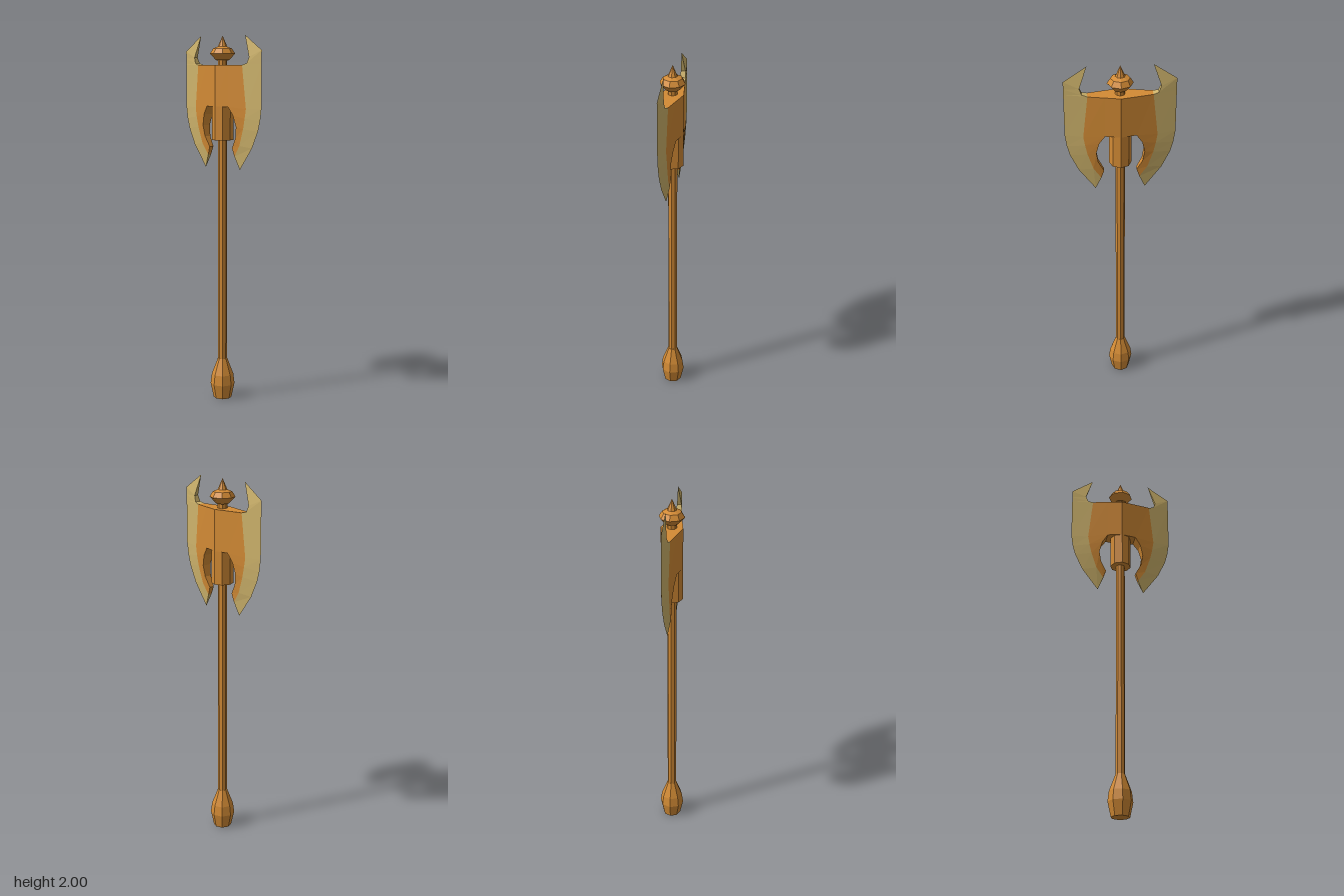
import * as THREE from 'three';

// Mirrors a strip of [inner, outer] rows (points are x, y, half thickness) in z and closes its rims.
function plate(rows) {
  const pos = [];
  const tri = (a, b, c) => {
    const n = b.clone().sub(a).cross(c.clone().sub(a));
    if (n.length() < 1e-9) return;
    for (const p of [a, b, c]) pos.push(p.x, p.y, p.z);
  };
  const quad = (a, b, c, d) => { tri(a, b, c); tri(a, c, d); };
  const front = ([x, y, z]) => new THREE.Vector3(x, y, z);
  const back = ([x, y, z]) => new THREE.Vector3(x, y, -z);
  const rim = (p, q) => quad(front(p), back(p), back(q), front(q));
  for (let i = 0; i < rows.length - 1; i++) {
    const [a0, b0] = rows[i];
    const [a1, b1] = rows[i + 1];
    quad(front(a0), front(b0), front(b1), front(a1));
    quad(back(a1), back(b1), back(b0), back(a0));
    rim(b0, b1);
    rim(a1, a0);
  }
  const last = rows[rows.length - 1];
  rim(rows[0][0], rows[0][1]);
  rim(last[1], last[0]);
  const geo = new THREE.BufferGeometry();
  geo.setAttribute('position', new THREE.Float32BufferAttribute(pos, 3));
  geo.computeVertexNormals();
  return geo;
}

// Eight-sided turned part from [radius, height] points, bottom to top.
function turned(points) {
  return new THREE.LatheGeometry(points.map(([r, y]) => new THREE.Vector2(r, y)), 8);
}

export function createModel() {
  const bronze = new THREE.MeshStandardMaterial({ color: 0xd38b35, flatShading: true });
  bronze.name = 'bronze';
  const paleEdge = new THREE.MeshStandardMaterial({ color: 0xcfb46c, flatShading: true });
  paleEdge.name = 'pale edge';

  const model = new THREE.Group();
  model.name = 'battleAxe';
  const add = (parent, name, geometry, material) => {
    const mesh = new THREE.Mesh(geometry, material);
    mesh.name = name;
    parent.add(mesh);
  };

  // Handle
  add(model, 'pommel', turned([[0, 0], [0.05, 0], [0.067, 0.08], [0.06, 0.135], [0.026, 0.225], [0, 0.225]]), bronze);
  add(model, 'shaft', turned([[0.025, 0.2], [0.025, 1.46]]), bronze);
  add(model, 'socket', turned([[0, 1.445], [0.058, 1.445], [0.058, 1.845], [0, 1.845]]), bronze);
  add(model, 'finial', turned([[0.025, 1.84], [0.025, 1.87], [0.035, 1.87], [0.067, 1.905],
    [0.05, 1.932], [0.025, 1.942], [0, 2]]), bronze);

  // Blade halves, the second turned half way round
  const hubRows = [1.625, 1.845].map((y) => [[0, y, 0.057], [0.08, y, 0.04]]);
  const wingRows = [
    [[0.085, 1.405, 0.014], [0.1, 1.36, 0.011]],
    [[0.115, 1.46, 0.02], [0.14, 1.42, 0.015]],
    [[0.125, 1.52, 0.026], [0.17, 1.51, 0.018]],
    [[0.11, 1.58, 0.033], [0.182, 1.565, 0.019]],
    [[0.08, 1.625, 0.04], [0.19, 1.615, 0.018]],
    [[0.08, 1.845, 0.04], [0.165, 1.845, 0.022]],
  ];
  const edgeRows = [
    [[0.1, 1.36, 0.011], [0.13, 1.29, 0]],
    [[0.14, 1.42, 0.015], [0.218, 1.41, 0]],
    [[0.17, 1.51, 0.018], [0.26, 1.5, 0]],
    [[0.182, 1.565, 0.019], [0.275, 1.555, 0]],
    [[0.19, 1.615, 0.018], [0.284, 1.62, 0]],
    [[0.165, 1.845, 0.022], [0.284, 1.85, 0]],
    [[0.193, 1.853, 0.016], [0.284, 1.88, 0]],
    [[0.205, 1.885, 0.012], [0.284, 1.92, 0]],
    [[0.165, 2, 0], [0.284, 1.92, 0]],
  ];
  for (const side of ['left', 'right']) {
    const blade = new THREE.Group();
    blade.name = side + 'Blade';
    add(blade, side + 'BladeHub', plate(hubRows), bronze);
    add(blade, side + 'BladeBody', plate(wingRows), bronze);
    add(blade, side + 'CuttingEdge', plate(edgeRows), paleEdge);
    if (side === 'right') blade.rotation.y = Math.PI;
    model.add(blade);
  }
  return model;
}
